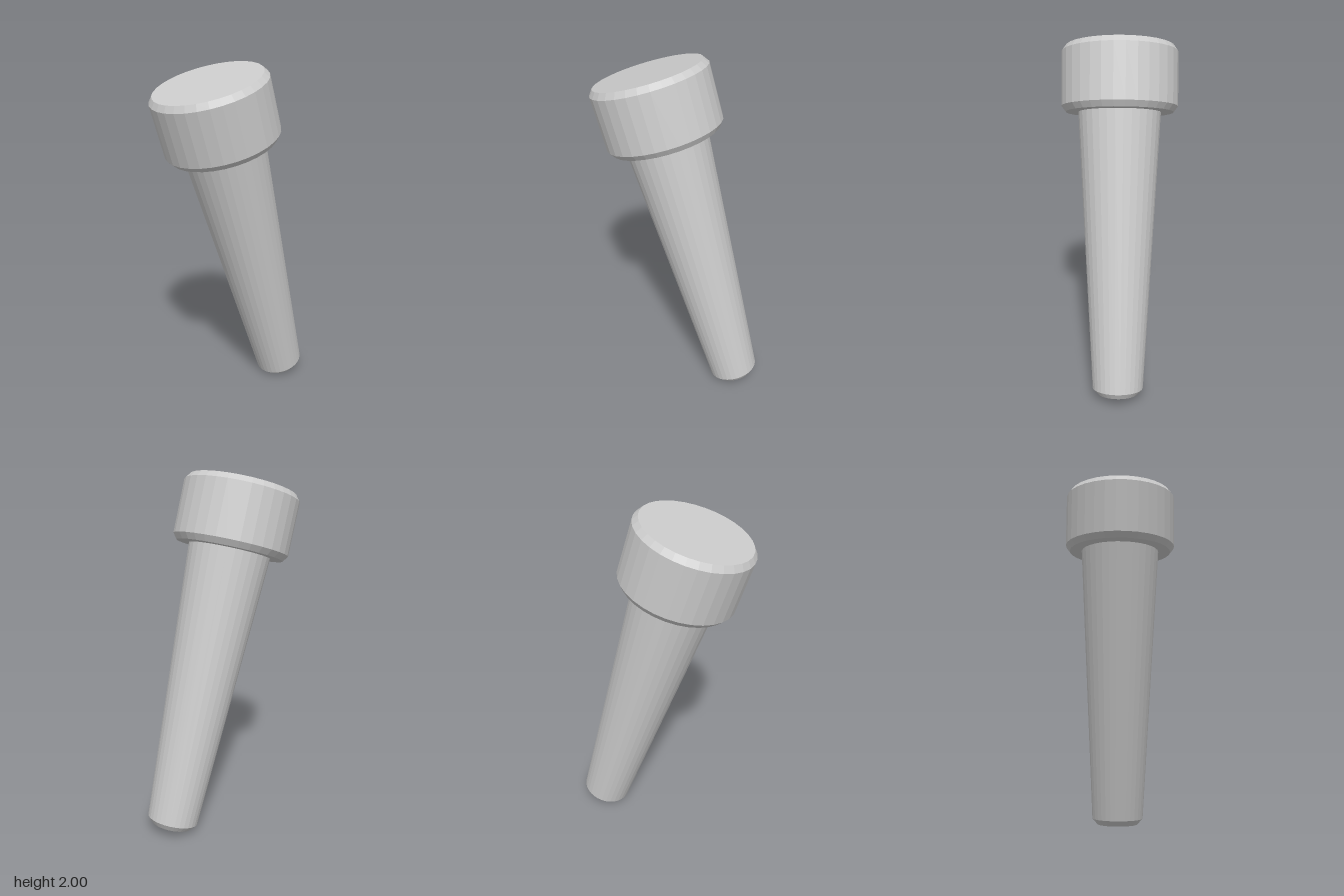
import * as THREE from 'three';

const SEGMENTS = 32;

// Solid of revolution from [radius, height] pairs, listed bottom to top
function turned(name, profile, material) {
  const points = profile.map(([r, y]) => new THREE.Vector2(r, y));
  const mesh = new THREE.Mesh(new THREE.LatheGeometry(points, SEGMENTS), material);
  mesh.name = name;
  return mesh;
}

export function createModel() {
  const material = new THREE.MeshStandardMaterial({ color: 0xcccccc, flatShading: true });
  const foot = new THREE.Vector3(0.36, 0.034, -0.155);
  const crown = new THREE.Vector3(-0.19, 1.912, 0.009);
  const axis = crown.clone().sub(foot);
  const length = axis.length();
  const headBase = length - 0.365;
  const bevel = 0.032;

  const peg = new THREE.Group();
  peg.name = 'peg';

  // Tapered shaft with a bevelled tip
  peg.add(turned('shaft', [
    [0, 0], [0.115, 0], [0.144, bevel], [0.232, headBase],
  ], material));

  // Wide cylindrical head, bevelled on both rims
  peg.add(turned('head', [
    [0, headBase], [0.303, headBase], [0.327, headBase + bevel],
    [0.327, length - bevel], [0.303, length], [0, length],
  ], material));

  // Lean the peg along its axis
  peg.position.copy(foot);
  peg.quaternion.setFromUnitVectors(new THREE.Vector3(0, 1, 0), axis.normalize());

  const model = new THREE.Group();
  model.name = 'leaningPeg';
  model.add(peg);
  return model;
}
